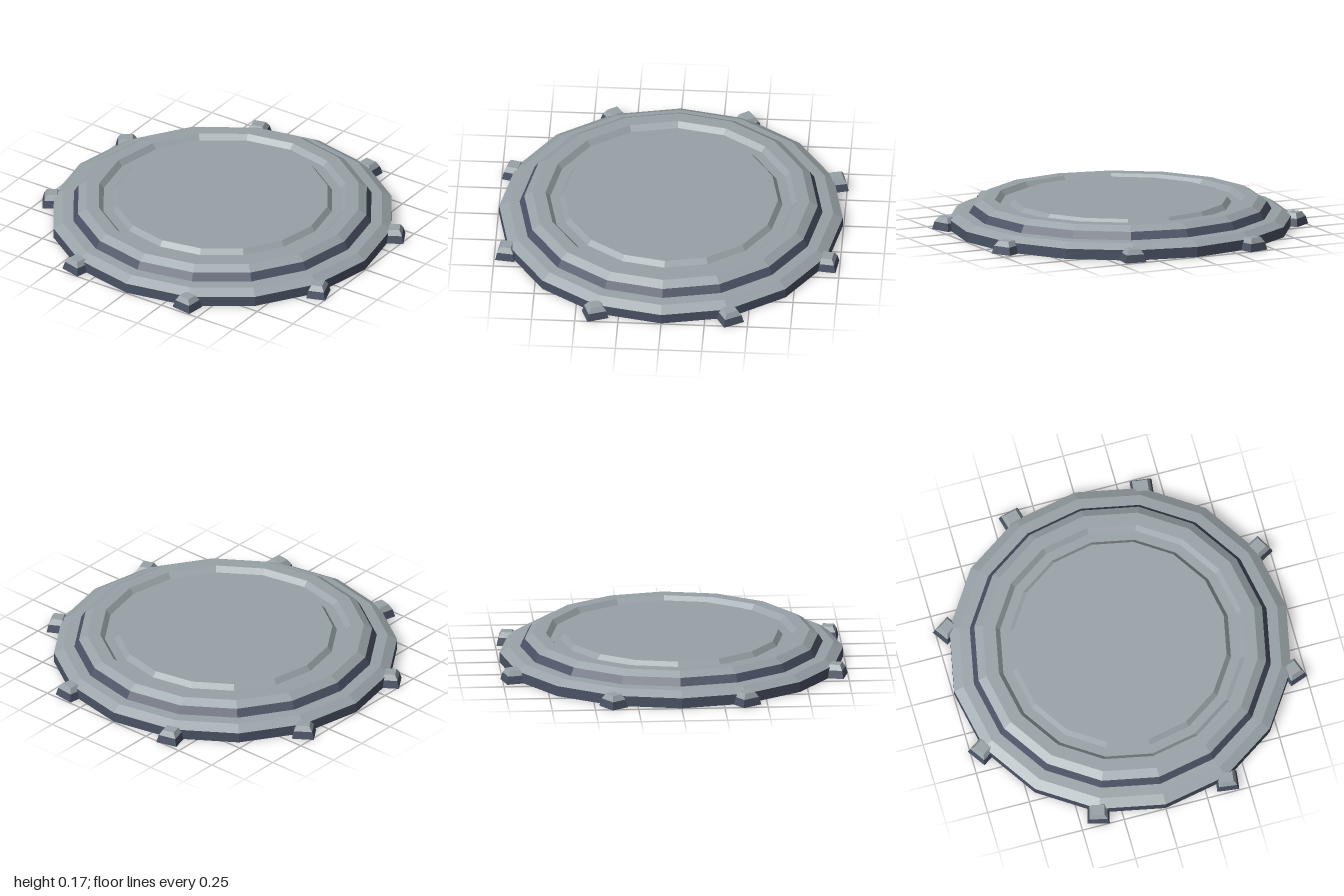
import * as THREE from 'three';

const grey = new THREE.MeshStandardMaterial({ color: 0x98a2a7, flatShading: true });
grey.name = 'light grey metal';
const slate = new THREE.MeshStandardMaterial({ color: 0x4a5264, flatShading: true });
slate.name = 'dark slate metal';

// Faceted ring or plate from a profile of [radius, height] points
function turned(name, material, sides, points) {
  const profile = points.map(([r, y]) => new THREE.Vector2(r, y));
  const mesh = new THREE.Mesh(new THREE.LatheGeometry(profile, sides), material);
  mesh.name = name;
  return mesh;
}

// Small tapered block: dark sides, light bevelled cap, outward face along +z
function makeClamp() {
  const clamp = new THREE.Group();
  const r = Math.SQRT2;
  const parts = [
    turned('clampSides', slate, 4, [[0, 0], [0.064 * r, 0], [0.053 * r, 0.045]]),
    turned('clampCap', grey, 4, [[0.053 * r, 0.045], [0.035 * r, 0.075], [0, 0.075]]),
  ];
  for (const part of parts) {
    part.geometry.rotateY(Math.PI / 4);
    part.geometry.scale(1, 1, 0.88);
    clamp.add(part);
  }
  return clamp;
}

export function createModel() {
  const model = new THREE.Group();
  model.name = 'roundPlatform';
  const N = 16;

  // Stepped platform, bottom to top
  model.add(
    turned('baseSide', slate, N, [[0, 0], [0.995, 0], [0.995, 0.06]]),
    turned('baseLedge', grey, N, [[0.995, 0.06], [0.94, 0.092], [0.877, 0.096]]),
    turned('upperSide', slate, N, [[0.877, 0.096], [0.85, 0.14]]),
    turned('upperRim', grey, N, [[0.85, 0.14], [0.802, 0.17], [0.727, 0.17]]),
    // Groove running round the central disc
    turned('groove', grey, N, [[0.727, 0.17], [0.7, 0.14], [0.645, 0.14], [0.62, 0.17]]),
    turned('centreDisc', grey, N, [[0.62, 0.17], [0, 0.17]]),
  );

  // Clamps round the edge, each turned unevenly: x, z, facing in degrees from +x to +z
  const clamps = [
    [0.385, 0.93, 97], [-0.385, 0.93, 104], [-0.93, 0.38, 146], [-0.93, -0.39, 236],
    [-0.385, -0.94, 255], [0.385, -0.93, 277], [0.935, -0.395, 331], [0.93, 0.385, 340],
  ];
  clamps.forEach(([x, z, deg], i) => {
    const clamp = makeClamp();
    clamp.name = `edgeClamp${i + 1}`;
    clamp.position.set(x, 0, z);
    clamp.rotation.y = Math.PI / 2 - THREE.MathUtils.degToRad(deg);
    model.add(clamp);
  });

  return model;
}
